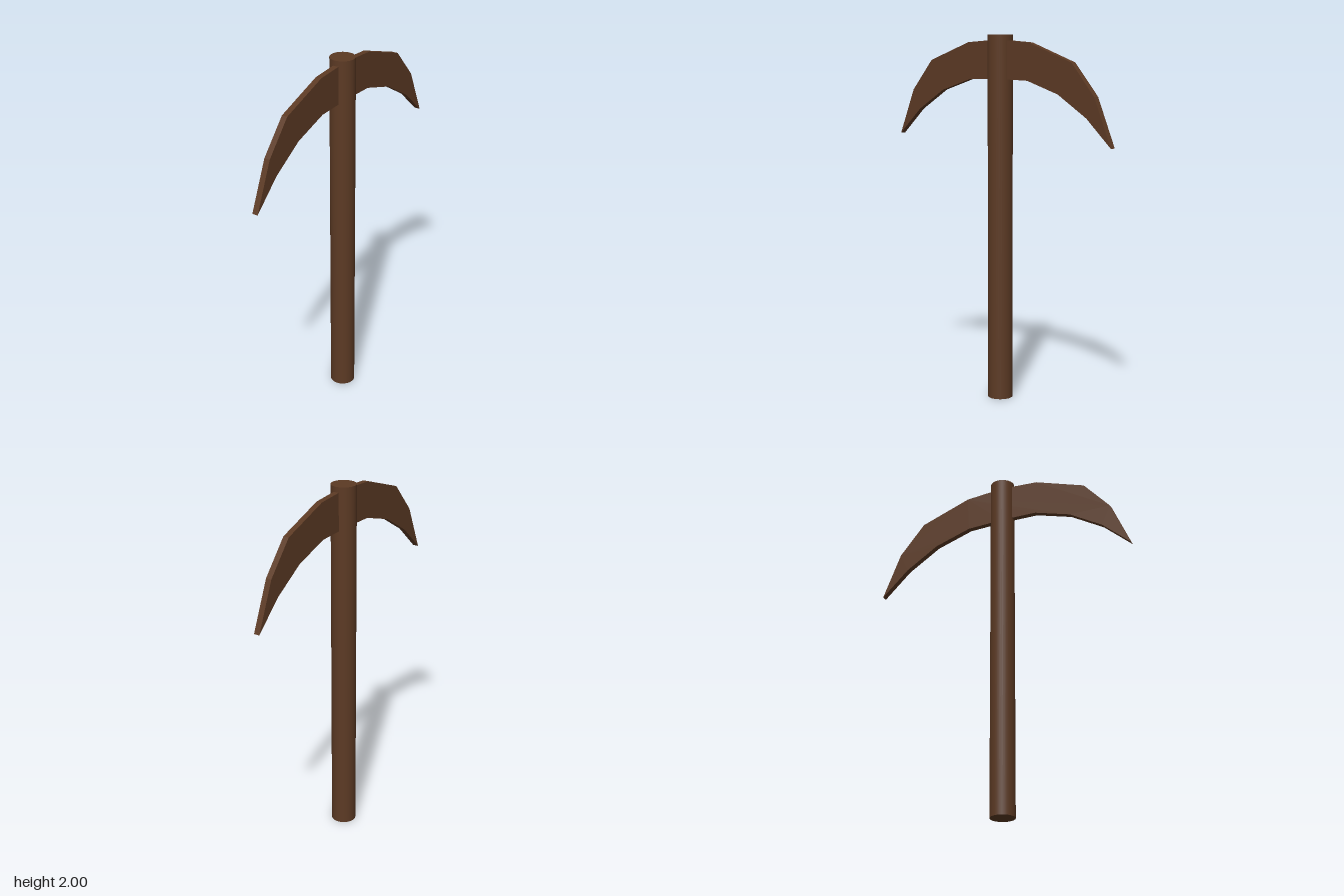
import * as THREE from 'three';

export function createModel() {
  const group = new THREE.Group();
  const wood = new THREE.MeshStandardMaterial({ color: 0x5c3a24 });

  // Round handle standing on the ground
  const handle = new THREE.Mesh(new THREE.CylinderGeometry(0.068, 0.068, 2, 32), wood);
  handle.name = 'handle';
  handle.position.y = 1;
  group.add(handle);

  // Half outline of the curved head: upper edge out to the tip, then the lower edge back in
  const half = [
    [0, 1.975], [0.22, 1.96], [0.51, 1.86], [0.66, 1.69], [0.77, 1.435],
    [0.61, 1.58], [0.42, 1.695], [0.21, 1.76], [0, 1.765],
  ];
  const mirrored = half.slice(1, -1).reverse().map(([u, y]) => [-u, y]);
  const outline = [...half, ...mirrored].map(([u, y]) => new THREE.Vector2(u, y));

  // Thin flat head running front to back, set slightly off the handle's axis
  const thickness = 0.032;
  const headGeometry = new THREE.ExtrudeGeometry(new THREE.Shape(outline), {
    depth: thickness,
    bevelEnabled: false,
  });
  headGeometry.rotateY(Math.PI / 2);
  headGeometry.translate(-0.013, 0, 0);
  const head = new THREE.Mesh(headGeometry, wood);
  head.name = 'pickHead';
  group.add(head);

  return group;
}
